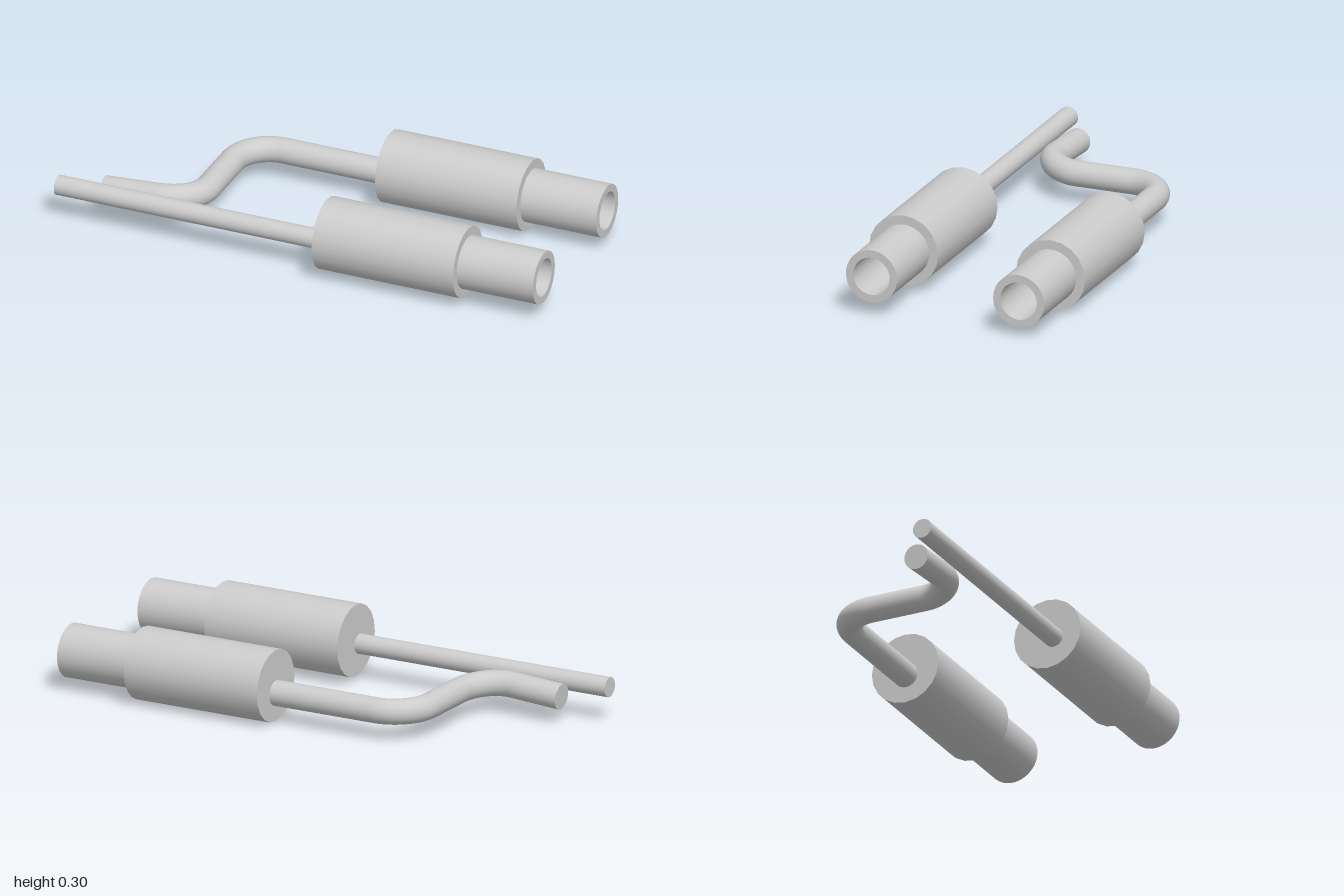
import * as THREE from 'three';
import { toCreasedNormals } from 'three/addons/utils/BufferGeometryUtils.js';

const grey = new THREE.MeshStandardMaterial({ color: 0xcccccc });
const V = (x, y, z) => new THREE.Vector3(x, y, z);

function add(parent, name, geometry) {
  const mesh = new THREE.Mesh(geometry, grey);
  mesh.name = name;
  parent.add(mesh);
  return mesh;
}

// Solid cylinder lying along x
function rod(radius, x0, x1, sides) {
  return new THREE.CylinderGeometry(radius, radius, x1 - x0, sides)
    .rotateZ(-Math.PI / 2)
    .translate((x0 + x1) / 2, 0, 0);
}

// Canister with a hollow tailpipe on its +x end
function silencer(name, y, z) {
  const group = new THREE.Group();
  group.name = name;
  group.position.set(0, y, z);
  add(group, 'canister', rod(0.142, 0.1, 0.685, 20));
  const profile = [[0.105, 0.68], [0.105, 1], [0.075, 1], [0.075, 0.69], [0, 0.69]]
    .map(([r, x]) => new THREE.Vector2(r, x));
  const tip = new THREE.LatheGeometry(profile, 40).rotateZ(-Math.PI / 2);
  add(group, 'tailpipe', toCreasedNormals(tip, 0.6));
  return group;
}

// S-shaped pipe: straight runs joined by two quarter bends, last run sloping down
function bentPipe() {
  const group = new THREE.Group();
  group.name = 'bentPipe';
  const y = 0.115, radius = 0.05;
  const a = V(0.11, y, -0.3), b = V(-0.335, y, -0.3), c = V(-0.485, y, -0.15);
  const d = V(-0.485, y, 0.077), e = V(-0.635, 0.12, 0.227), f = V(-0.848, 0.106, 0.227);
  const path = new THREE.CurvePath();
  path.add(new THREE.LineCurve3(a, b));
  path.add(new THREE.CubicBezierCurve3(b, V(-0.418, y, -0.3), V(-0.485, y, -0.233), c));
  path.add(new THREE.LineCurve3(c, d));
  path.add(new THREE.CubicBezierCurve3(d, V(-0.485, y, 0.16), V(-0.552, 0.1255, 0.227), e));
  path.add(new THREE.LineCurve3(e, f));
  add(group, 'tube', new THREE.TubeGeometry(path, 120, radius, 32));
  // End cap facing along the last run
  const cap = add(group, 'endCap', new THREE.CircleGeometry(radius, 32));
  cap.position.copy(f);
  cap.lookAt(f.clone().multiplyScalar(2).sub(e));
  return group;
}

export function createModel() {
  const model = new THREE.Group();
  model.name = 'exhaustSystem';
  model.add(silencer('frontSilencer', 0.16, 0.303));
  model.add(silencer('rearSilencer', 0.144, -0.303));
  add(model, 'straightPipe', rod(0.039, -1, 0.11, 32)).position.set(0, 0.14, 0.33);
  model.add(bentPipe());
  return model;
}
